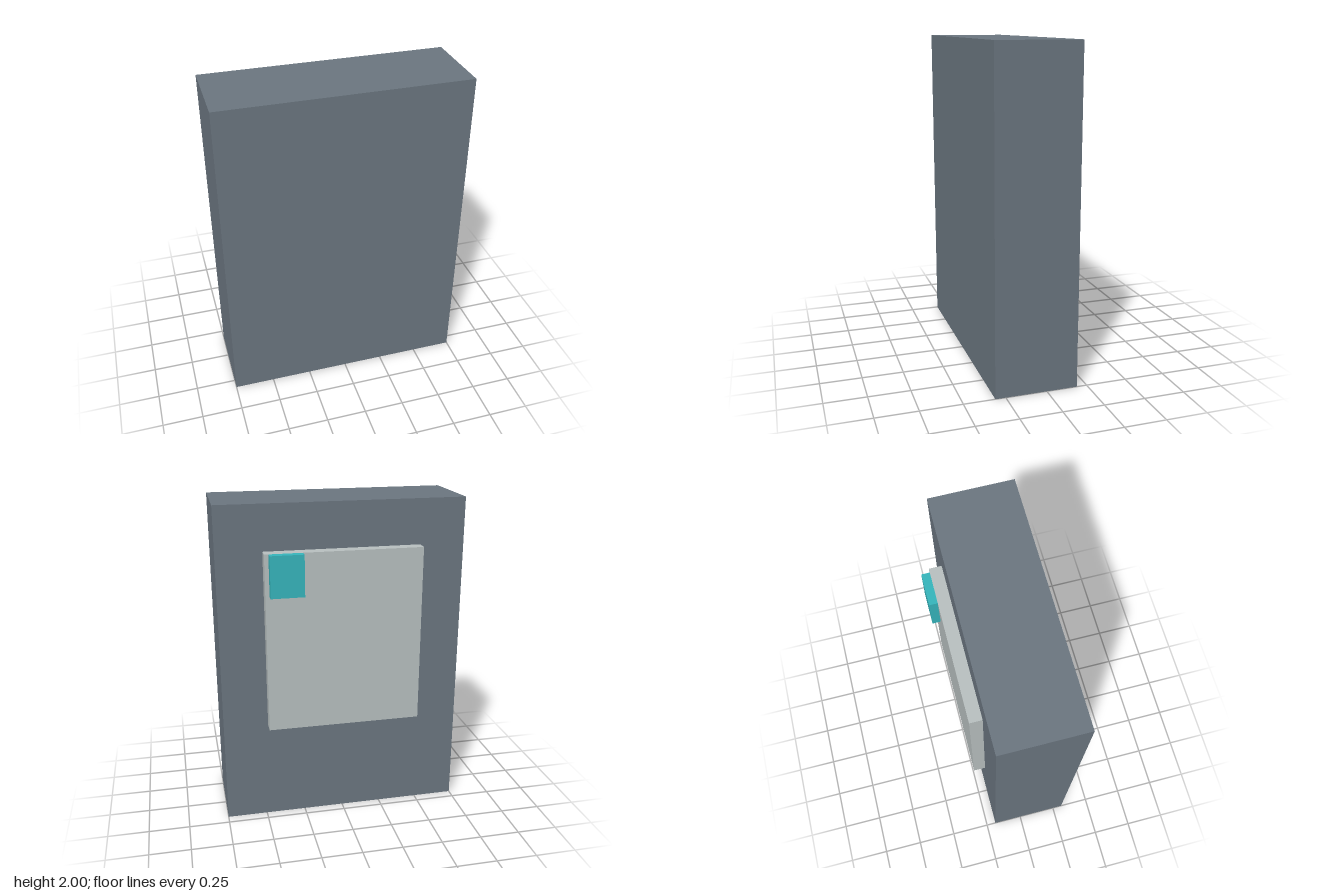
import * as THREE from 'three';

// Box given by its minimum and maximum corners
function block(name, color, min, max) {
  const size = max.map((v, i) => v - min[i]);
  const mesh = new THREE.Mesh(
    new THREE.BoxGeometry(...size),
    new THREE.MeshStandardMaterial({ color })
  );
  mesh.position.set(...max.map((v, i) => (v + min[i]) / 2));
  mesh.name = name;
  return mesh;
}

export function createModel() {
  const model = new THREE.Group();
  model.name = 'slabWithBackPanel';
  model.add(
    // Main upright slab
    block('body', 0x6b7680, [-0.75, 0, -0.1875], [0.75, 2, 0.3125]),
    // Raised plate on the back
    block('backPanel', 0xb8c0c0, [-0.475, 0.625, -0.2625], [0.475, 1.725, -0.1875]),
    // Small coloured tab in the plate's upper corner
    block('cornerTab', 0x36b5bc, [0.25, 1.475, -0.3125], [0.45, 1.725, -0.2625])
  );
  return model;
}
